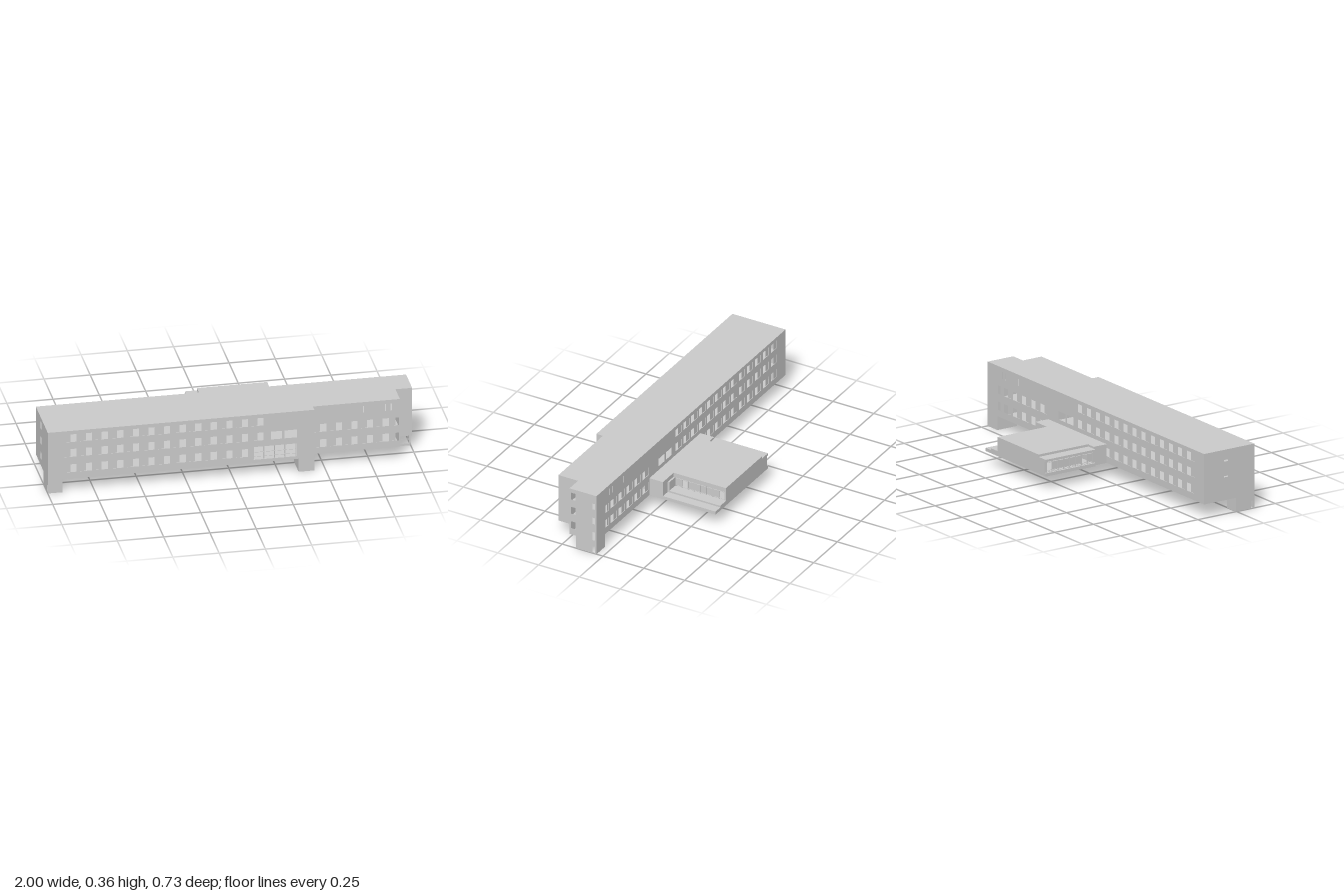
import * as THREE from 'three';

const material = new THREE.MeshStandardMaterial({ color: 0xcccccc, side: THREE.DoubleSide, flatShading: true });
const Y0 = 0.077, Y1 = 0.357;

export function createModel() {
  const group = new THREE.Group();

  function add(name, geometry) {
    const mesh = new THREE.Mesh(geometry, material);
    mesh.name = name;
    group.add(mesh);
    return mesh;
  }

  function box(name, x0, x1, y0, y1, z0, z1) {
    add(name, new THREE.BoxGeometry(x1 - x0, y1 - y0, z1 - z0))
      .position.set((x0 + x1) / 2, (y0 + y1) / 2, (z0 + z1) / 2);
  }

  // Thin wall outline with rectangular openings [u0, u1, y0, y1]
  function panel(u0, u1, y0, y1, holes = []) {
    const rect = (T, a, b, c, d) => new T([[a, c], [b, c], [b, d], [a, d]].map(p => new THREE.Vector2(...p)));
    const shape = rect(THREE.Shape, u0, u1, y0, y1);
    shape.holes = holes.map(h => rect(THREE.Path, ...h));
    return new THREE.ShapeGeometry(shape);
  }
  const xWall = (name, z, ...args) => add(name, panel(...args).translate(0, 0, z));
  const zWall = (name, x, ...args) => add(name, panel(...args).rotateY(-Math.PI / 2).translate(x, 0, 0));

  // Window rows
  const PITCH = 0.0842, WIDTH = 0.066;
  const rows = [[0.114, 0.16], [0.204, 0.25], [0.291, 0.336]];
  const row = (start, count, r) =>
    Array.from({ length: count }, (_, i) => [start + i * PITCH, start + i * PITCH + WIDTH, ...rows[r]]);
  const slits = [0.71, 0.83, 0.86].map(x => [x, x + 0.006, 0.295, 0.335]);
  const smallPair = [[0.205, 0.265, 0.204, 0.25], [0.28, 0.345, 0.204, 0.25]];
  const entrance = [0.11, 0.345, 0.093, 0.168];
  const westFront = [...row(-0.91, 12, 0), ...row(-0.91, 13, 1), ...row(-0.91, 13, 2)];
  const eastFront = [...row(0.447, 5, 0), ...row(0.447, 5, 1), [0.868, 0.904, ...rows[0]], [0.868, 0.904, ...rows[1]]];

  // Facades of the long block
  xWall('frontWall', 0.365, -1, 0.44, Y0, Y1, [...westFront, ...smallPair, entrance]);
  xWall('frontWallSetBack', 0.325, 0.44, 0.91, Y0, Y1, [...eastFront, ...slits]);
  xWall('frontWallEnd', 0.205, 0.91, 1, Y0, Y1);
  xWall('backWall', 0.04, -1, 1, Y0, Y1, [...westFront, ...smallPair, ...eastFront, ...slits]);

  // Fixed half panes behind the window openings
  for (const [z, list] of [[0.362, westFront], [0.322, eastFront], [0.043, [...westFront, ...eastFront]]]) {
    for (const [a, b, c, d] of list) xWall('windowPane', z, a, (a + b) / 2, c, d);
  }

  // End walls with stair windows
  const stair = [[0.115, 0.157], [0.204, 0.246], [0.291, 0.333]];
  const slotY = [[0.08, 0.13], [0.162, 0.218], [0.25, 0.305]];
  const wide = stair.map(y => [0.168, 0.196, ...y]);
  const slots = z => slotY.map(y => [z, z + 0.016, ...y]);
  zWall('leftEndWall', 1, 0.04, 0.205, Y0, Y1, [...wide, ...slots(0.048)]);
  zWall('rightEndWall', -1, 0.04, 0.365, Y0, Y1, wide);
  zWall('stepWall', 0.44, 0.325, 0.365, Y0, Y1, [...slots(0.344).slice(0, 2), [0.344, 0.36, 0.25, 0.272]]);
  zWall('notchWall', 0.91, 0.205, 0.325, Y0, Y1);
  for (const x of [-0.92, 0.4, 0.91]) zWall('crossWall', x, 0.04, x > 0.9 ? 0.205 : 0.325, Y0, Y1);

  // Floors and roof share the stepped footprint
  const plan = [[-1, 0.04], [1, 0.04], [1, 0.205], [0.91, 0.205], [0.91, 0.325], [0.44, 0.325], [0.44, 0.365], [-1, 0.365]];
  const footprint = new THREE.Shape(plan.map(p => new THREE.Vector2(...p)));
  [['underside', Y0], ['lowerFloor', 0.18], ['upperFloor', 0.27], ['roof', Y1]].forEach(([name, y]) =>
    add(name, new THREE.ShapeGeometry(footprint).rotateX(Math.PI / 2).translate(0, y, 0)));

  // Hollow stair feet
  for (const [x0, x1, z0, z1, slot] of [
    [-1, -0.92, 0.245, 0.365, 0.344], [0.355, 0.44, 0.245, 0.365, 0.344], [0.91, 1, 0.04, 0.165, 0.048]]) {
    const opening = [[slot, slot + 0.016, 0.003, 0.043]];
    xWall('footBack', z0, x0, x1, 0, Y0);
    xWall('footFront', z1, x0, x1, 0, Y0, x0 > 0.9 ? [[x0 + 0.01, x1 - 0.01, 0.012, 0.035], [x0 + 0.01, x1 - 0.01, 0.04, 0.06]] : []);
    zWall('footInnerSide', x0, z0, z1, 0, Y0, x0 > -1 ? [] : opening);
    zWall('footOuterSide', x1, z0, z1, 0, Y0, x0 > -1 ? opening : []);
  }

  // Entrance glazing bars
  for (let i = 0; i <= 4; i++) {
    const x = 0.113 + i * 0.057;
    box('entranceMullion', x - 0.002, x + 0.002, 0.093, 0.168, 0.355, 0.362);
  }
  for (const y of [0.11, 0.135]) box('entranceRail', 0.11, 0.345, y - 0.001, y + 0.001, 0.355, 0.362);

  // Rear hall: slab, stepped roof, closed back and terrace
  box('hallFloor', -0.115, 0.44, Y0, 0.095, -0.365, -0.043);
  box('hallRoof', -0.115, 0.33, 0.157, 0.17, -0.365, -0.043);
  box('hallRoofRaised', -0.05, 0.33, 0.17, 0.183, -0.365, -0.043);
  box('hallBackWall', -0.105, 0.33, 0.095, 0.157, -0.365, -0.355);
  box('hallFrontWall', -0.105, 0.39, 0.095, 0.157, -0.053, -0.043);
  box('terrace', 0.33, 0.39, 0.095, 0.105, -0.365, -0.043);
  box('connector', -0.1, 0.36, Y0, 0.181, -0.043, 0.04);
  box('connectorSideWall', 0.36, 0.44, Y0, 0.181, -0.043, 0.04);

  // Glazed hall sides: frame bars and panes, with two open bays
  const bays = 8, step = 0.302 / bays;
  for (const x of [-0.105, 0.322]) {
    for (const y of [0.098, 0.106, 0.15]) box('hallRail', x - 0.003, x + 0.003, y - 0.001, y + 0.001, -0.355, -0.053);
    for (let i = 0; i <= bays; i++) {
      const z = -0.355 + i * step;
      box('hallMullion', x - 0.003, x + 0.003, 0.095, 0.157, z - 0.002, z + 0.002);
      if (i < bays && i !== 0 && i !== 6) zWall('hallPane', x, z, z + step, 0.106, 0.15);
    }
  }
  return group;
}
